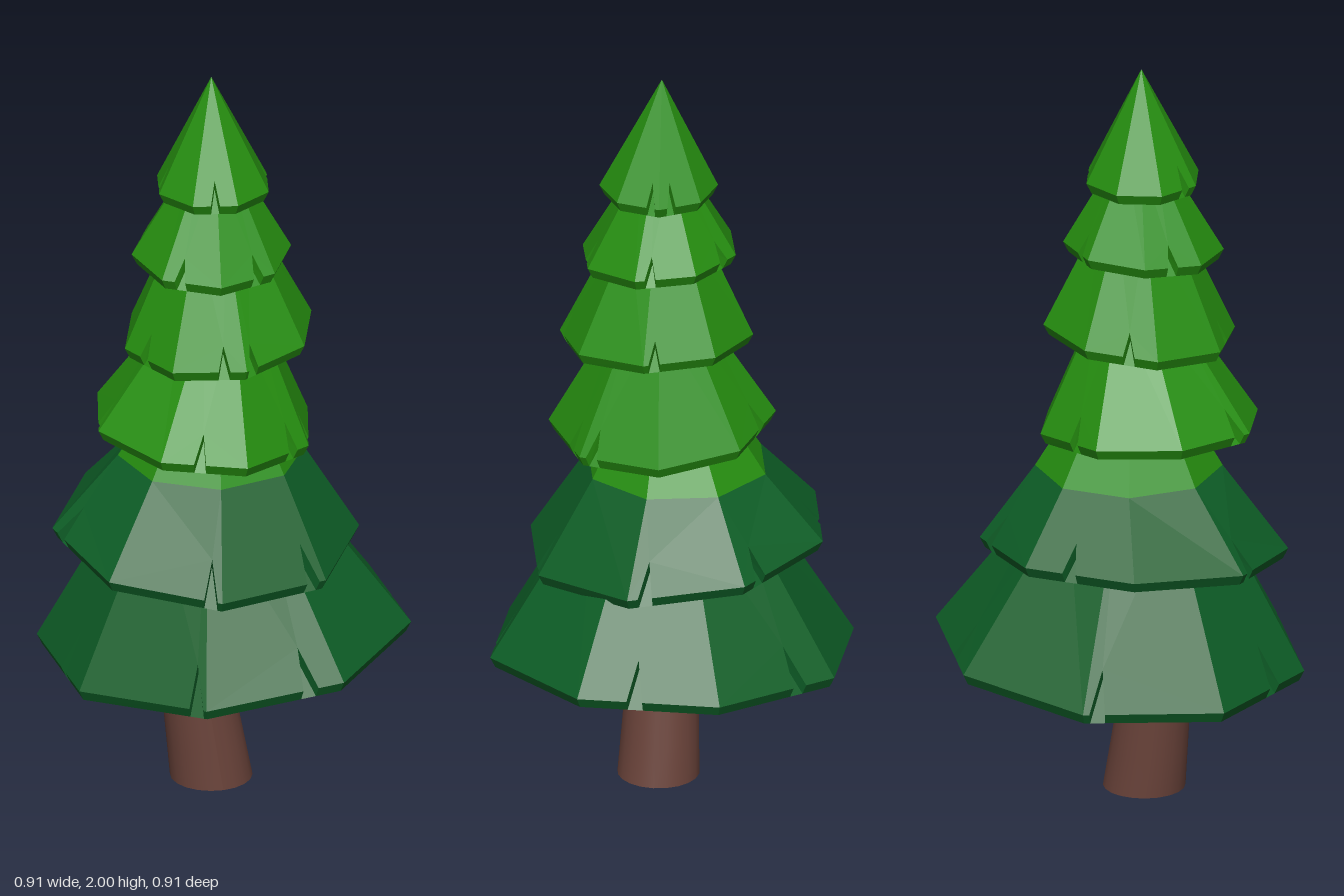
import * as THREE from 'three';

const material = (name, color, side = THREE.FrontSide) => {
  const m = new THREE.MeshStandardMaterial({ color, side });
  m.name = name;
  return m;
};

// Octagonal ring; angles run clockwise seen from above, starting at the back.
// tilt slopes the ring along x and z.
function ring({ c, y, r, tilt = [0, 0] }, turn, dr = 0, dy = 0) {
  return Array.from({ length: 8 }, (_, i) => {
    const a = THREE.MathUtils.degToRad(turn + i * 45);
    const x = Math.sin(a), z = -Math.cos(a);
    const rad = Math.max(r - dr, 0.0005);
    return new THREE.Vector3(c[0] + rad * x, y - dy + r * (x * tilt[0] + z * tilt[1]), c[1] + rad * z);
  });
}

function toGeometry(points) {
  const g = new THREE.BufferGeometry().setFromPoints(points);
  g.computeVertexNormals();
  return g;
}

// Hollow skirt of branches: outer shell, rim, inner shell and V-shaped cuts.
// notches: { edge index: position along that edge, 0 to 1 }
function skirt(base, top, turn, notches, width, depth) {
  const out = [];
  const fan = (pts) => {
    for (let i = 1; i < pts.length - 1; i++) out.push(pts[0], pts[i], pts[i + 1]);
  };
  const shells = [
    [ring(base, turn), ring(top, turn)],
    [ring(base, turn, 0.014, 0.028), ring(top, turn, 0.03, 0.03)],
  ];
  const v = depth / (top.y - base.y);
  for (let i = 0; i < 8; i++) {
    const j = (i + 1) % 8;
    const paths = shells.map(([lo, hi], inner) => {
      const at = (u, h) => lo[i].clone().lerp(lo[j], u).lerp(hi[i].clone().lerp(hi[j], u), h);
      const u = notches[i];
      const cut = u === undefined ? [] :
        [at(Math.max(u - width / 2, 0.01), 0), at(u, v), at(Math.min(u + width / 2, 0.99), 0)];
      const face = cut.length
        ? [cut[1], cut[0], lo[i], hi[i], hi[j], lo[j], cut[2]]
        : [lo[i], hi[i], hi[j], lo[j]];
      fan(inner ? face.reverse() : face);
      return [lo[i], ...cut, lo[j]];
    });
    // rim and the walls of the cut
    const [o, n] = paths;
    for (let k = 0; k < o.length - 1; k++) fan([o[k], o[k + 1], n[k + 1], n[k]]);
  }
  return toGeometry(out);
}

// Plain eight-sided band between two rings
function band(base, top, turn) {
  const lo = ring(base, turn), hi = ring(top, turn), out = [];
  for (let i = 0; i < 8; i++) {
    const j = (i + 1) % 8;
    out.push(lo[i], hi[i], hi[j], lo[i], hi[j], lo[j]);
  }
  return toGeometry(out);
}

export function createModel() {
  const group = new THREE.Group();
  const dark = material('dark green', 0x0e5f27);
  const light = material('light green', 0x268f10);
  const bark = material('bark brown', 0x6a433a);
  const add = (name, geometry, mat) => {
    const mesh = new THREE.Mesh(geometry, mat);
    mesh.name = name;
    group.add(mesh);
  };

  // Bent trunk: leans right, then kinks back inside the lowest branches
  const trunk = new THREE.CylinderGeometry(0.065, 0.108, 0.85, 20, 8);
  trunk.translate(0, 0.425, 0);
  const p = trunk.attributes.position;
  for (let i = 0; i < p.count; i++) {
    const y = p.getY(i);
    const x = y < 0.42 ? -0.048 - 0.14 * y : -0.107 + 0.17 * (y - 0.42);
    p.setXYZ(i, p.getX(i) + x, y, p.getZ(i) + 0.042 - 0.02 * y);
  }
  trunk.computeVertexNormals();
  add('trunk', trunk, bark);

  // Tiers from the ground up
  const middle = { c: [-0.033, -0.008], y: 0.905, r: 0.245 };
  const tiers = [
    { name: 'lowestBranches', mat: dark, turn: 22.5, width: 0.11, depth: 0.1,
      base: { c: [0, 0], y: 0.395, r: 0.491, tilt: [0.085, 0] },
      top: { c: [-0.03, 0.01], y: 0.85, r: 0.2 },
      notches: { 0: 0.3, 1: 0.6, 3: 0.24, 4: 0.08, 5: 0.37, 6: 0.9 } },
    { name: 'secondBranches', mat: dark, turn: 11, width: 0.12, depth: 0.08,
      base: { c: [-0.048, -0.006], y: 0.69, r: 0.403, tilt: [-0.02, -0.1] },
      top: middle,
      notches: { 0: 0.8, 1: 0.85, 3: 0.12, 4: 0.1, 5: 0.85, 7: 0.6 } },
    { name: 'thirdBranches', mat: light, turn: -6, width: 0.14, depth: 0.07,
      base: { c: [-0.068, 0.035], y: 1.02, r: 0.297, tilt: [-0.07, -0.05] },
      top: { c: [-0.025, 0.035], y: 1.36, r: 0.1 },
      notches: { 0: 0.4, 2: 0.85, 3: 0.25, 4: 0.55, 6: 0.15 } },
    { name: 'fourthBranches', mat: light, turn: 0, width: 0.16, depth: 0.06,
      base: { c: [-0.03, 0.045], y: 1.277, r: 0.255, tilt: [0.08, -0.04] },
      top: { c: [-0.035, 0.035], y: 1.6, r: 0.1 },
      notches: { 1: 0.85, 3: 0.88, 4: 0.3, 5: 0.6, 7: 0.4 } },
    { name: 'fifthBranches', mat: light, turn: 10, width: 0.18, depth: 0.055,
      base: { c: [-0.047, 0.04], y: 1.507, r: 0.21, tilt: [0.02, -0.07] },
      top: { c: [-0.04, 0.035], y: 1.77, r: 0.055 },
      notches: { 0: 0.3, 1: 0.75, 3: 0.3, 4: 0.7, 6: 0.5 } },
    { name: 'treeTip', mat: light, turn: -8, width: 0.2, depth: 0.06,
      base: { c: [-0.043, 0.041], y: 1.697, r: 0.155 },
      top: { c: [-0.045, 0.033], y: 2, r: 0 },
      notches: { 1: 0.7, 2: 0.2, 4: 0.5, 6: 0.3 } },
  ];
  for (const t of tiers) {
    add(t.name, skirt(t.base, t.top, t.turn, t.notches, t.width, t.depth), t.mat);
  }

  // Light upper part of the second tier
  add('secondBranchesTop', band(middle, { c: [-0.03, 0.005], y: 1.12, r: 0.115 }, 11), light);
  return group;
}
